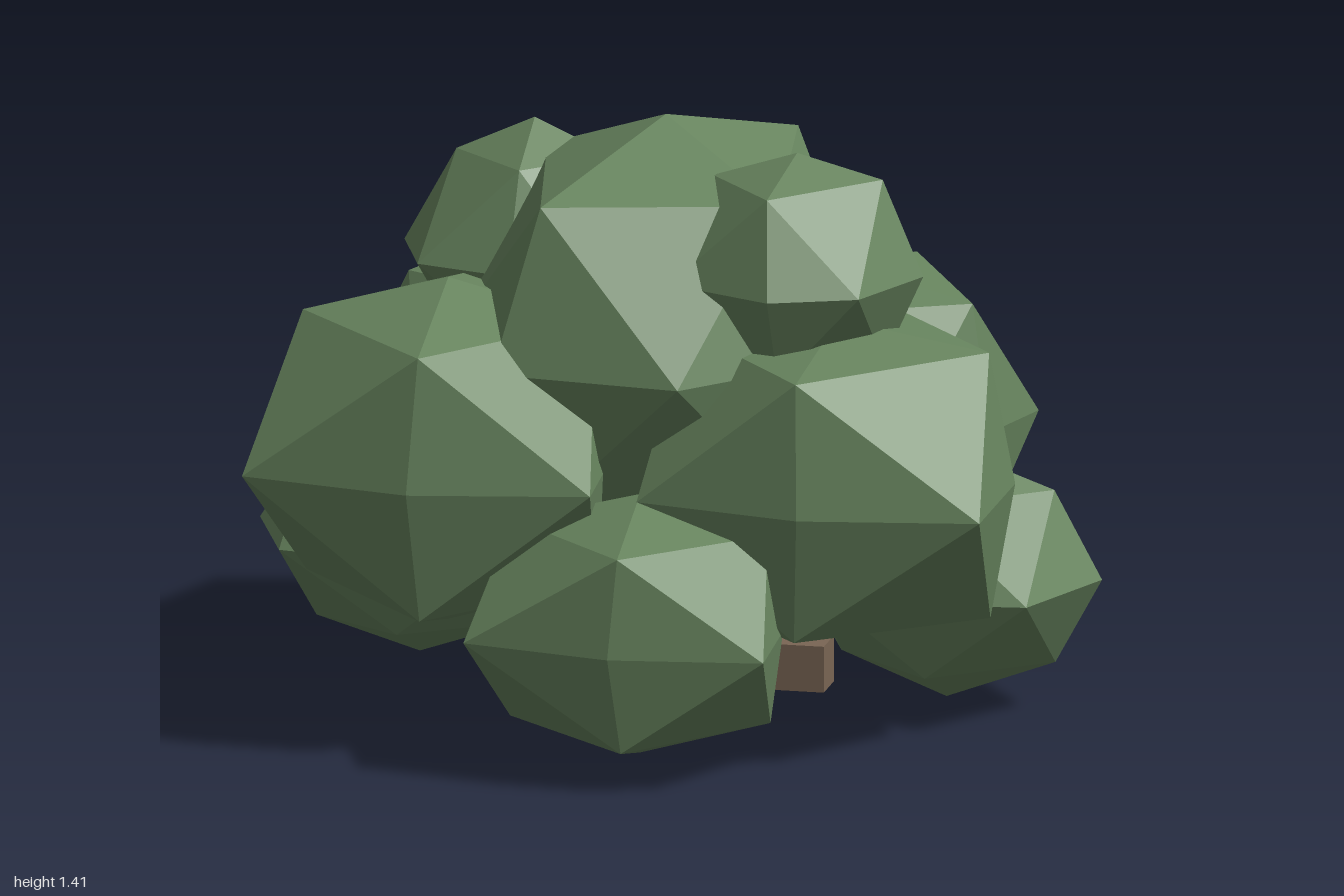
import * as THREE from 'three';

const leafGreen = new THREE.MeshStandardMaterial({ name: 'leafGreen', color: 0x67845e, flatShading: true });
const barkBrown = new THREE.MeshStandardMaterial({ name: 'barkBrown', color: 0x7a6654, flatShading: true });

const sign = (v) => (Math.abs(v) < 0.1 ? 0 : Math.sign(v));

// Repeatable value in -1..1, so shared corners stay joined
function wobble(a, b, c, seed) {
  const s = Math.sin(a * 12.7 + b * 31.1 + c * 74.7 + seed * 5.3) * 4375.85;
  return (s - Math.floor(s)) * 2 - 1;
}

// Faceted clump: poles and side points at the half sizes, an eight-sided
// waist through four given corners, and a four-point ring above and below it
function clumpGeometry(half, corners, [ringRadius, ringHeight], seed) {
  const geo = new THREE.OctahedronGeometry(1, 1);
  const pos = geo.attributes.position;
  for (let i = 0; i < pos.count; i++) {
    const x = sign(pos.getX(i)), y = sign(pos.getY(i)), z = sign(pos.getZ(i));
    let p = [x * half[0], y * half[1], z * half[2]];
    if (y === 0 && x !== 0 && z !== 0) {
      const quarter = z > 0 ? (x > 0 ? 0 : 1) : (x > 0 ? 3 : 2);
      p = [corners[quarter][0], 0, corners[quarter][1]];
    } else if (y !== 0 && (x !== 0 || z !== 0)) {
      const turn = 0.08 * wobble(x, y, z, seed);
      p = [
        (x * ringRadius - z * turn) * half[0],
        y * (ringHeight + 0.03 * wobble(z, x, y, seed)) * half[1],
        (z * ringRadius + x * turn) * half[2],
      ];
    }
    pos.setXYZ(i, ...p);
  }
  geo.computeVertexNormals();
  return geo;
}

export function createModel() {
  const model = new THREE.Group();
  model.name = 'bush';

  // Waist corners go round from +x+z to -x+z, -x-z and +x-z
  function addClump(name, centre, half, corners, ring, yaw = 0) {
    const mesh = new THREE.Mesh(clumpGeometry(half, corners, ring, model.children.length + 1), leafGreen);
    mesh.name = name;
    mesh.position.set(...centre);
    mesh.rotation.y = yaw;
    model.add(mesh);
  }

  // Low clumps
  addClump('frontLowClump', [0.05, 0.33, 0.56], [0.34, 0.31, 0.35],
    [[0.36, 0.30], [-0.36, 0.27], [-0.27, -0.26], [0.27, -0.26]], [0.9, 0.76]);
  addClump('rightLowClump', [-0.62, 0.36, -0.09], [0.38, 0.30, 0.34],
    [[0.25, 0.25], [-0.27, 0.29], [-0.21, -0.27], [0.25, -0.25]], [0.64, 0.72]);
  addClump('leftLowClump', [0.63, 0.32, -0.10], [0.37, 0.30, 0.32],
    [[0.255, 0.29], [-0.25, 0.25], [-0.25, -0.25], [0.18, -0.32]], [0.69, 0.68]);
  addClump('backLowClump', [-0.15, 0.31, -0.56], [0.34, 0.31, 0.33],
    [[0.25, 0.25], [-0.25, 0.25], [-0.18, -0.35], [0.20, -0.29]], [0.66, 0.72]);

  // Middle clumps
  addClump('frontRightClump', [-0.46, 0.66, 0.32], [0.39, 0.41, 0.45],
    [[0.42, 0.37], [-0.41, 0.36], [-0.36, -0.28], [0.30, -0.30]], [0.88, 0.79]);
  addClump('frontLeftClump', [0.45, 0.63, 0.24], [0.42, 0.37, 0.45],
    [[0.42, 0.38], [-0.40, 0.36], [-0.30, -0.30], [0.32, -0.36]], [0.87, 0.85]);
  addClump('backLeftClump', [0.32, 0.60, -0.42], [0.38, 0.36, 0.38],
    [[0.28, 0.28], [-0.28, 0.28], [-0.42, -0.39], [0.38, -0.235]], [0.85, 0.85], -0.28);
  addClump('backRightClump', [-0.42, 0.65, -0.33], [0.37, 0.38, 0.44],
    [[0.28, 0.28], [-0.28, 0.28], [-0.36, -0.24], [0.34, -0.26]], [0.75, 0.78], 0.31);

  // Crown
  addClump('crownClump', [-0.01, 0.90, 0.02], [0.50, 0.51, 0.60],
    [[0.42, 0.42], [-0.35, 0.35], [-0.34, -0.34], [0.34, -0.34]], [0.78, 0.74], -0.52);
  addClump('crownLeftClump', [0.34, 1.10, 0.19], [0.30, 0.28, 0.32],
    [[0.20, 0.24], [-0.26, 0.20], [-0.20, -0.20], [0.20, -0.22]], [0.67, 0.77]);
  addClump('crownRightClump', [-0.36, 1.03, -0.15], [0.31, 0.31, 0.29],
    [[0.20, 0.24], [-0.23, 0.22], [-0.20, -0.20], [0.20, -0.24]], [0.6, 0.75]);

  // Square branches by their middle and size
  [
    ['backBranch', [0, 0.10, -0.20], [0.11, 0.11, 0.32]],
    ['rightBranch', [-0.225, 0.135, 0.12], [0.35, 0.11, 0.11]],
    ['leftBranch', [0.25, 0.14, 0.12], [0.30, 0.11, 0.11]],
  ].forEach(([name, middle, size]) => {
    const mesh = new THREE.Mesh(new THREE.BoxGeometry(...size), barkBrown);
    mesh.name = name;
    mesh.position.set(...middle);
    model.add(mesh);
  });

  return model;
}
